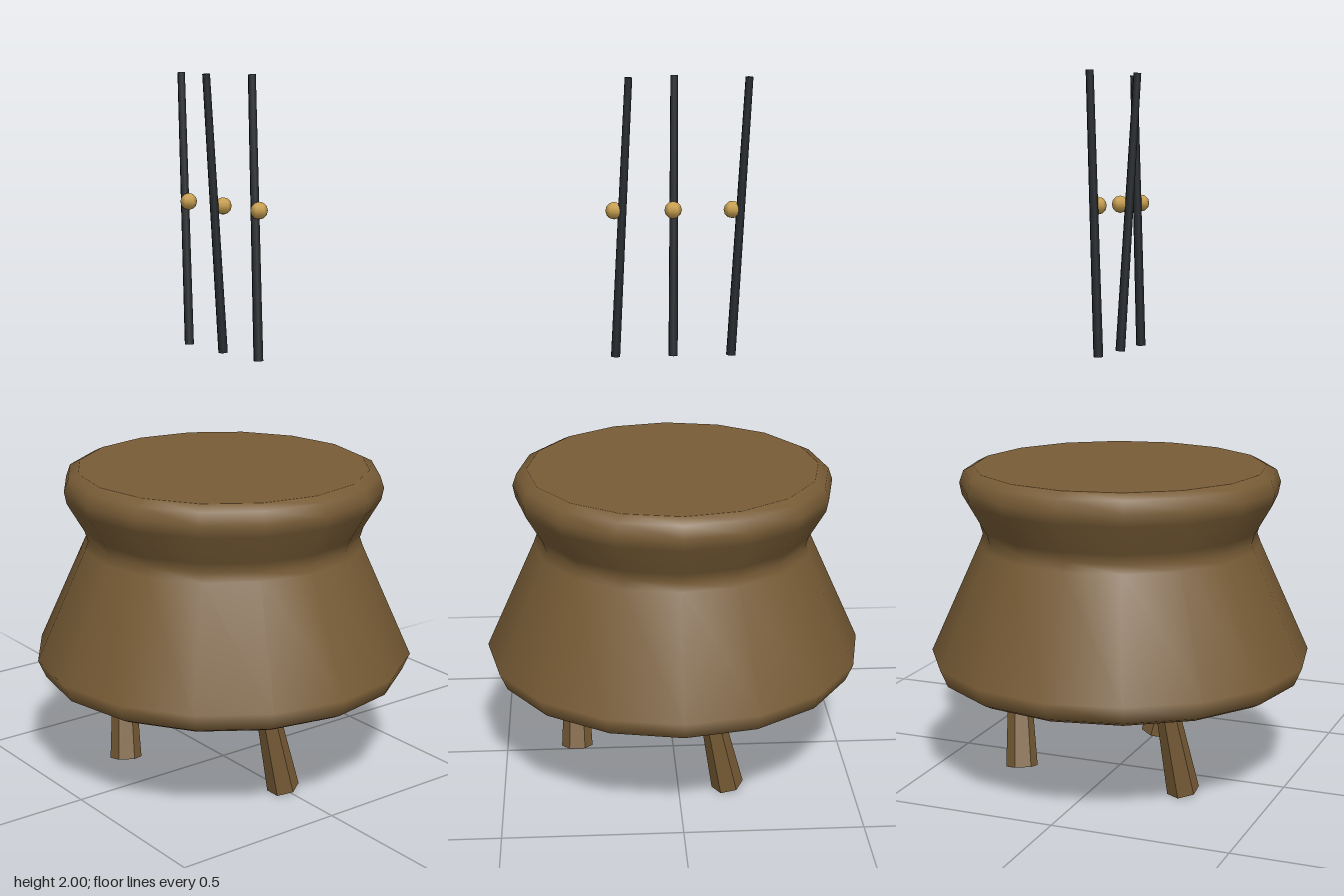
import * as THREE from 'three';

const paint = (name, color, flatShading = false) => {
  const m = new THREE.MeshStandardMaterial({ color, flatShading });
  m.name = name;
  return m;
};

// Tapered rod running from point a (radius ra) to point b (radius rb)
function rod(name, a, b, ra, rb, sides, material) {
  const from = new THREE.Vector3(...a), to = new THREE.Vector3(...b);
  const dir = to.clone().sub(from);
  const mesh = new THREE.Mesh(new THREE.CylinderGeometry(rb, ra, dir.length(), sides), material);
  mesh.name = name;
  mesh.position.copy(from).add(to).multiplyScalar(0.5);
  mesh.quaternion.setFromUnitVectors(new THREE.Vector3(0, 1, 0), dir.normalize());
  return mesh;
}

export function createModel() {
  const group = new THREE.Group();
  group.name = 'potWithSticks';
  const clay = paint('brown clay', 0x785c36);
  clay.flatShading = false;
  const stick = paint('black stick', 0x22262a);
  const gold = paint('gold bead', 0xc9a050);

  // Pot body: rounded foot, sloping wall, pinched neck and rolled rim
  const profile = [
    [0, 0.26], [0.5, 0.292], [0.525, 0.305], [0.547, 0.355], [0.405, 0.675],
    [0.396, 0.7], [0.405, 0.73], [0.455, 0.815], [0.462, 0.85], [0.45, 0.885], [0.42, 0.9],
  ].map(([r, y]) => new THREE.Vector2(r, y));
  const pot = new THREE.Mesh(new THREE.LatheGeometry(profile, 16), clay);
  pot.name = 'potBody';
  group.add(pot);

  // Flat lid
  const lid = new THREE.Mesh(new THREE.CircleGeometry(0.42, 16), clay);
  lid.name = 'lid';
  lid.rotation.x = -Math.PI / 2;
  lid.position.y = 0.9;
  group.add(lid);

  // Three six-sided legs, each leaning sideways around the pot
  for (let i = 0; i < 3; i++) {
    const holder = new THREE.Group();
    holder.name = 'leg' + (i + 1);
    const leg = rod('legPost', [0.29, 0.012, 0.004], [0.29, 0.3, 0.073], 0.046, 0.03, 6, clay);
    leg.geometry.rotateY(Math.PI / 6);
    leg.geometry = leg.geometry.toNonIndexed();
    leg.geometry.computeVertexNormals();
    holder.add(leg);
    holder.rotation.y = -i * Math.PI * 2 / 3;
    group.add(holder);
  }

  // Three floating sticks, each with a bead
  const sticks = [
    [-0.163, -0.205, -0.006],
    [0, -0.006, 0.053],
    [0.162, 0.12, -0.006],
  ];
  sticks.forEach(([x, topX, topZ], i) => {
    group.add(rod('stick' + (i + 1), [x, 1.228, 0], [topX, 1.999, topZ], 0.0145, 0.0115, 6, stick));
    const bead = new THREE.Mesh(new THREE.SphereGeometry(0.024, 6, 6), gold);
    bead.name = 'bead' + (i + 1);
    bead.position.set(x, 1.64, 0);
    group.add(bead);
  });

  return group;
}
